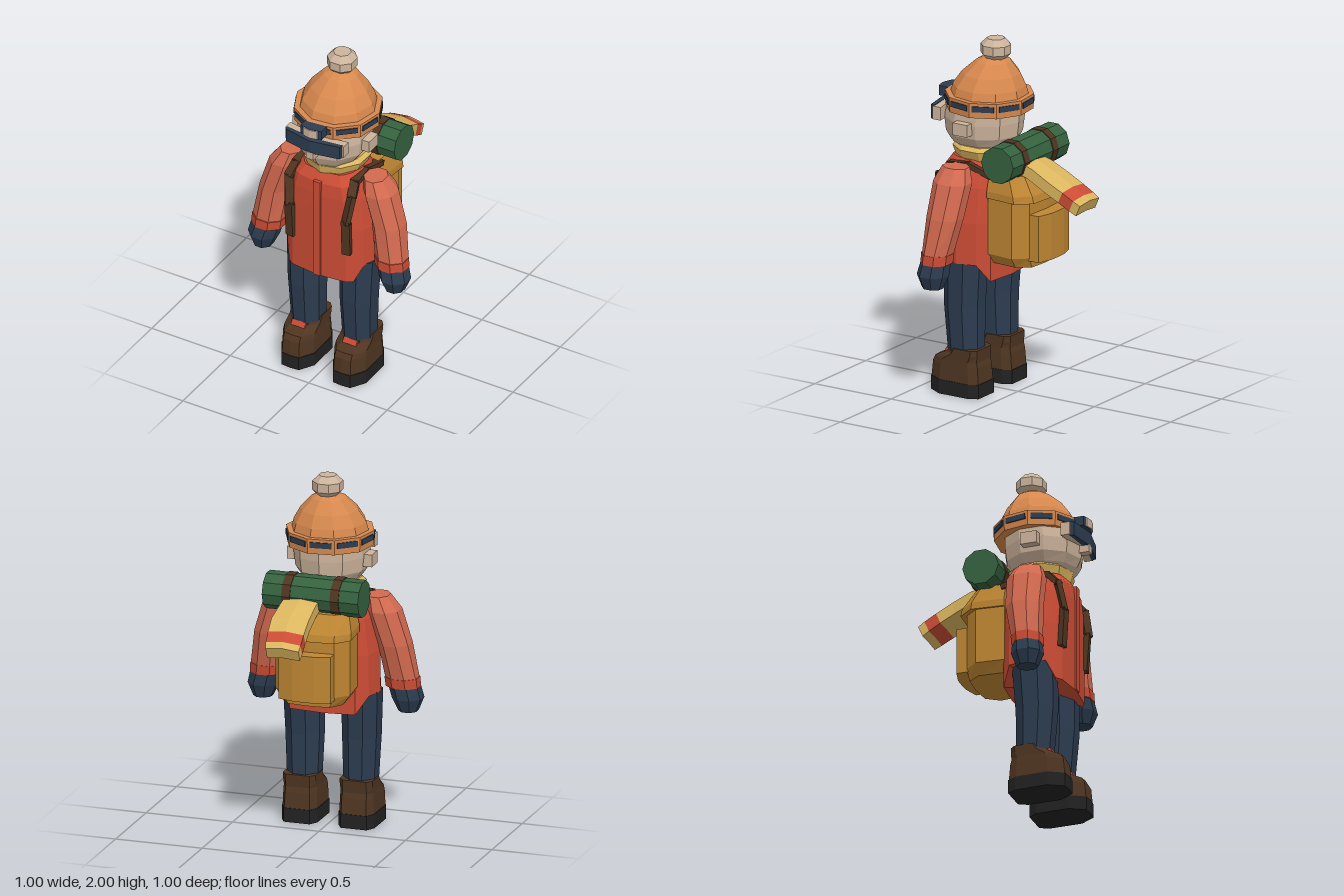
import * as THREE from 'three';

const paint = (name, color) => { const m = new THREE.MeshStandardMaterial({ color }); m.name = name; return m; };
const M = {
  orange: paint('hat orange', 0xd8894e), cream: paint('pale skin', 0xcdb49c),
  navy: paint('navy', 0x2c3c50), red: paint('jacket red', 0xcb4c35),
  coral: paint('sleeve coral', 0xd36a50), ochre: paint('pack ochre', 0xbe8632),
  yellow: paint('scarf yellow', 0xdbb65f), green: paint('bedroll green', 0x35623f),
  brown: paint('leather brown', 0x4f3521), black: paint('sole black', 0x222222),
};

// Faceted mesh with hard normals
function part(name, geo, mat) {
  const g = geo.index ? geo.toNonIndexed() : geo;
  g.computeVertexNormals();
  const mesh = new THREE.Mesh(g, mat);
  mesh.name = name;
  return mesh;
}

// Skin a list of closed cross-sections, with caps at both ends
function skin(name, mat, rings) {
  const pos = [], n = rings[0].length;
  const tri = (...p) => p.forEach(v => pos.push(...v));
  const mid = r => [0, 1, 2].map(k => r.reduce((s, p) => s + p[k], 0) / n);
  const first = rings[0], last = rings[rings.length - 1], c0 = mid(first), c1 = mid(last);
  for (let j = 0; j < n; j++) {
    const k = (j + 1) % n;
    for (let i = 0; i + 1 < rings.length; i++) {
      const a = rings[i], b = rings[i + 1];
      tri(a[j], a[k], b[k]);
      tri(a[j], b[k], b[j]);
    }
    tri(c0, first[k], first[j]);
    tri(c1, last[j], last[k]);
  }
  const g = new THREE.BufferGeometry();
  g.setAttribute('position', new THREE.Float32BufferAttribute(pos, 3));
  return part(name, g, mat);
}

// Oval section [x, y, z, rx, rz]
const oval = (n, turn = 0) => ([x, y, z, rx, rz]) => Array.from({ length: n }, (_, i) => {
  const a = (i / n) * Math.PI * 2 + turn;
  return [x + rx * Math.sin(a), y, z + rz * Math.cos(a)];
});

// Mirrored section from a half outline of [x, z], front to back
function sym(half, y, sx = 1, sz = 1, zc = 0, x0 = 0) {
  const other = half.filter(p => p[0] > 0).reverse().map(([x, z]) => [-x, z]);
  return [...half, ...other].map(([x, z]) => [x0 + x * sx, y, zc + (z - zc) * sz]);
}

function box(name, mat, w, h, d, x, y, z) {
  const m = part(name, new THREE.BoxGeometry(w, h, d), mat);
  m.position.set(x, y, z);
  return m;
}

// Flat strap between two points
function strap(name, mat, a, b, w, t) {
  const p = new THREE.Vector3(...a), q = new THREE.Vector3(...b);
  const m = part(name, new THREE.BoxGeometry(w, t, p.distanceTo(q) + 0.015), mat);
  m.position.copy(p).lerp(q, 0.5);
  m.lookAt(q);
  return m;
}

export function createModel() {
  const model = new THREE.Group();
  const add = (...m) => model.add(...m);
  const ten = oval(10), eight = oval(8, Math.PI / 8);

  // Head and face
  add(skin('head', M.cream, [[0, 1.38, .22, .14, .165], [0, 1.41, .22, .165, .19], [0, 1.46, .22, .2, .215],
    [0, 1.54, .22, .21, .225], [0, 1.62, .21, .205, .215]].map(ten)));
  add(box('nose', M.cream, .045, .045, .07, 0, 1.51, .455));
  for (const s of [-1, 1]) add(box('ear', M.cream, .05, .07, .095, s * .22, 1.52, .22));
  add(skin('goggleFrame', M.cream, [1.53, 1.605].map(y => sym([[0, .465], [.185, .437], [.185, .385], [0, .42]], y))));
  add(skin('goggleLens', M.navy, [1.528, 1.608].map(y => sym([[0, .49], [.17, .458], [.176, .432], [0, .46]], y))));

  // Knitted hat with a strap around the band
  const hatSides = 10, turn = -.2, bandR = .247, bandZ = .187;
  const hat = oval(hatSides, turn);
  add(skin('hatDome', M.orange, [[0, 1.66, .187, .222, .222], [0, 1.73, .185, .203, .203], [0, 1.8, .175, .162, .162],
    [0, 1.87, .16, .098, .098], [0, 1.9, .15, .045, .045]].map(hat)));
  add(skin('hatBand', M.orange, [[0, 1.6, bandZ, .243, .243], [0, 1.685, bandZ, bandR, bandR]].map(hat)));
  for (let i = 0; i < hatSides; i++) {
    const a = ((i + .5) / hatSides) * Math.PI * 2 + turn, r = bandR * Math.cos(Math.PI / hatSides);
    const m = box('bandStrap', M.navy, .122, .032, .009, Math.sin(a) * r, 1.652, bandZ + Math.cos(a) * r);
    m.rotation.y = a;
    add(m);
  }
  add(skin('headlamp', M.navy, [1.63, 1.685].map(y => sym([[0, .49], [.066, .475], [.066, .41], [0, .41]], y))));
  add(skin('headlampGlass', M.cream, [1.632, 1.683].map(y => sym([[0, .496], [.046, .486], [.046, .478], [0, .487]], y))));
  add(skin('pompom', M.cream, [[0, 1.88, .145, .05, .05], [0, 1.915, .145, .085, .085],
    [0, 1.965, .145, .085, .085], [0, 2, .145, .05, .05]].map(eight)));

  // Scarf collar and trailing end
  add(skin('scarfCollar', M.yellow, [[0, 1.29, .2, .15, .15], [0, 1.33, .2, .17, .175], [0, 1.385, .2, .195, .19],
    [0, 1.405, .2, .17, .17]].map(ten)));
  const tail = ([z, y, l, r]) => [[(l + r) / 2, y + .042, z - .018], [r, y + .03, z - .013], [r, y - .03, z + .013],
    [(l + r) / 2, y - .022, z + .01], [l, y - .03, z + .013], [l, y + .03, z - .013]];
  const t = [[-.06, 1.35, -.045, .15], [-.18, 1.315, -.045, .155], [-.29, 1.265, -.045, .167],
    [-.38, 1.215, -.05, .157], [-.445, 1.175, -.055, .147], [-.482, 1.15, -.055, .135]].map(tail);
  add(skin('scarfTail', M.yellow, t.slice(0, 4)), skin('scarfStripe', M.red, t.slice(3, 5)),
    skin('scarfTip', M.yellow, t.slice(4)));

  // Jacket with a longer hem at front and back
  const body = [[0, .41], [.17, .39], [.205, .365], [.245, .32], [.28, .22], [.25, .11], [.19, .055], [0, .035]];
  const hem = sym(body, 0).map(([x, , z]) => [x, Math.abs(x) < .21 ? .668 : .765, z]);
  add(skin('jacket', M.red, [hem, sym(body, .79), sym(body, 1.0, .99), sym(body, 1.2, .9, 1, .22),
    sym(body, 1.28, .8, .97, .22), sym(body, 1.335, .62, .78, .22)]));
  add(box('placket', M.red, .045, .62, .02, 0, .98, .406));

  for (const s of [-1, 1]) {
    // Arms
    const ring = ([x, ...r]) => eight([s * x, ...r]);
    add(skin('sleeve', M.coral, [[.39, .84, .268, .095, .085], [.357, 1.05, .24, .094, .106], [.298, 1.24, .23, .095, .112],
      [.265, 1.32, .23, .065, .08]].map(ring)));
    add(skin('cuff', M.red, [[.393, .795, .272, .098, .088], [.388, .85, .268, .099, .09]].map(ring)));
    add(skin('mitten', M.navy, [[.42, .655, .28, .055, .06], [.417, .73, .28, .089, .09],
      [.397, .81, .272, .09, .082]].map(ring)));

    // Legs
    add(skin('trouserLeg', M.navy, [[.163, .24, .23, .096, .105], [.164, .5, .24, .107, .118],
      [.168, .768, .23, .114, .128]].map(ring)));

    // Boots
    const foot = [[0, .43], [.055, .425], [.105, .34], [.103, .15], [.075, .1], [0, .1]];
    const cx = s * .164;
    add(skin('sole', M.black, [sym(foot, 0, 1, 1, 0, cx), sym(foot, .08, 1, 1, 0, cx)]));
    add(skin('boot', M.brown, [sym(foot, .08, .97, .98, .26, cx), sym(foot, .17, .94, .93, .25, cx),
      sym(foot, .2, .92, .86, .22, cx), sym(foot, .235, .92, .64, .14, cx), sym(foot, .27, .92, .56, .13, cx)]));
    const lace = box('bootLace', M.red, .085, .05, .04, cx, .222, .325);
    lace.rotation.x = -.5;
    add(lace);

    // Pack straps over the shoulders
    const path = [[.178, .87, .392], [.18, 1.08, .405], [.2, 1.24, .375], [.185, 1.3, .32], [.18, 1.315, .2], [.18, 1.27, .05]];
    for (let i = 0; i + 1 < path.length; i++)
      add(strap('packStrap', M.brown, [s * path[i][0], ...path[i].slice(1)],
        [s * path[i + 1][0], ...path[i + 1].slice(1)], .05, .03));
  }

  // Backpack, lid and pocket
  const pack = [[0, .065], [.2, .065], [.215, -.1], [.15, -.175], [0, -.185]];
  add(skin('backpack', M.ochre, [sym(pack, .77, .8, .97), sym(pack, .83), sym(pack, 1.16)]));
  add(skin('packLid', M.ochre, [sym(pack, 1.15, 1.06, 1.14, .065), sym(pack, 1.19, 1.06, 1.1, .065),
    sym(pack, 1.29, .92, .82, .065)]));
  const pocket = [[0, -.15], [.15, -.15], [.15, -.235], [.06, -.26], [0, -.262]];
  add(skin('packPocket', M.ochre, [sym(pocket, .815), sym(pocket, 1.08)]));

  // Bedroll with two straps
  const roll = (name, mat, r, len, x) => {
    const m = part(name, new THREE.CylinderGeometry(r, r, len, 10).rotateZ(Math.PI / 2), mat);
    m.position.set(x, 1.373, -.048);
    add(m);
  };
  roll('bedroll', M.green, .105, .555, 0);
  for (const s of [-1, 1]) roll('bedrollStrap', M.brown, .11, .05, s * .14);

  return model;
}
